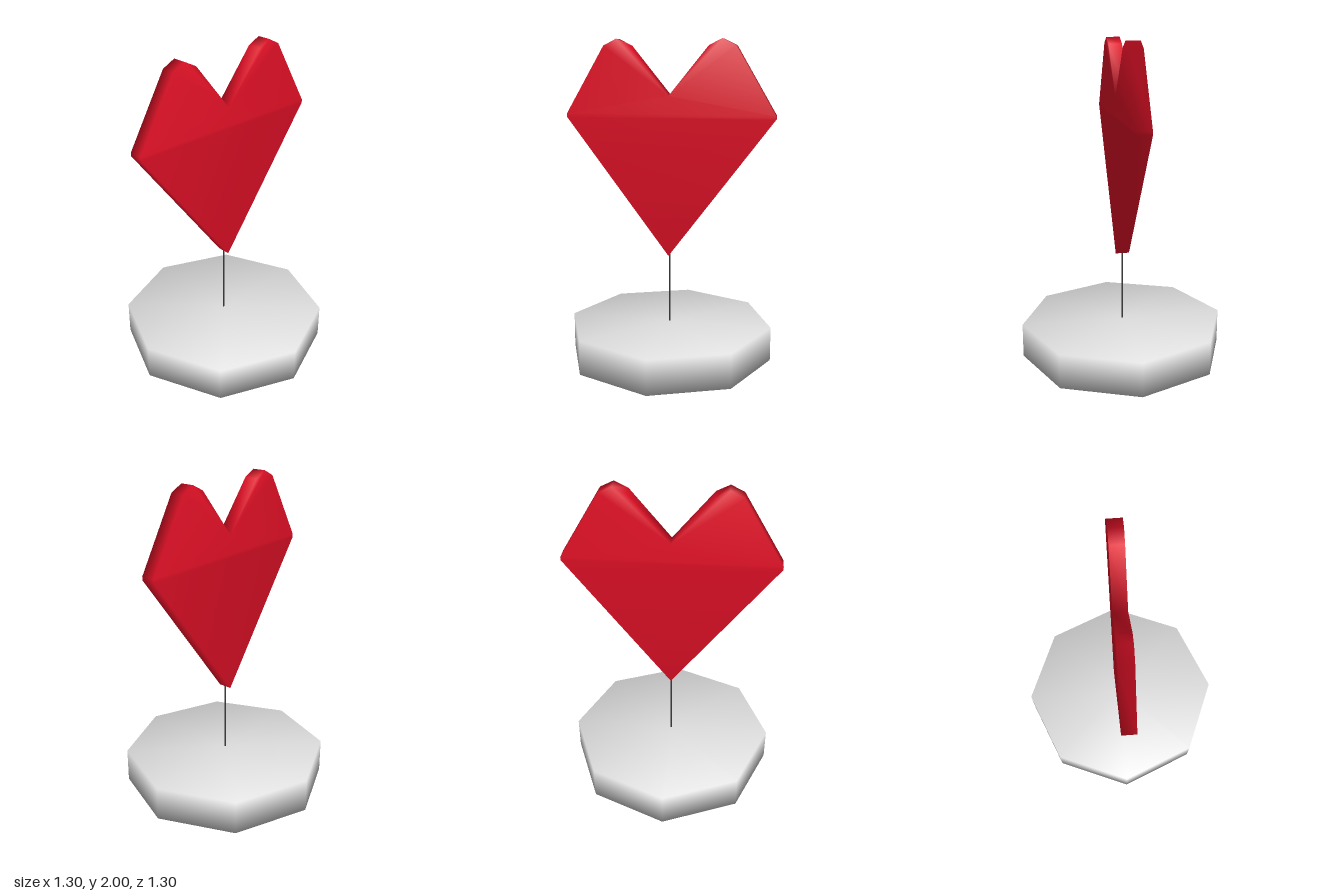
import * as THREE from 'three';
import { mergeVertices } from 'three/addons/utils/BufferGeometryUtils.js';

const red = new THREE.MeshStandardMaterial({ color: 0xe01026 });
red.name = 'heartRed';
const pale = new THREE.MeshStandardMaterial({ color: 0xdedede });
pale.name = 'baseGrey';
const dark = new THREE.MeshStandardMaterial({ color: 0x3a3a3a });
dark.name = 'rodGrey';

// Weld shared corners so the shading rolls softly over the edges
function weld(geometry) {
  geometry.deleteAttribute('normal');
  geometry.deleteAttribute('uv');
  const welded = mergeVertices(geometry);
  welded.computeVertexNormals();
  return welded;
}

// Flat heart slab standing in the y-z plane
function heartGeometry(halfThickness) {
  const half = [[0.65, 1.525], [0.65, 1.545], [0.405, 1.96], [0.325, 2], [0.245, 1.96]];
  const outline = [[0, 0.66], ...half, [0, 1.66], ...half.map(([z, y]) => [-z, y]).reverse()];
  const n = outline.length;
  const positions = [];
  for (const x of [-halfThickness, halfThickness]) {
    for (const [z, y] of outline) positions.push(x, y, z);
  }
  // Lower point, middle band, then a fan for each lobe
  const faces = [[0, 1, 11], [1, 2, 10], [1, 10, 11], [2, 6, 10],
    [2, 3, 6], [3, 4, 6], [4, 5, 6], [6, 7, 8], [6, 8, 9], [6, 9, 10]];
  const index = [];
  for (const [a, b, c] of faces) index.push(a, b, c, a + n, c + n, b + n);
  for (let i = 0; i < n; i++) {
    const j = (i + 1) % n;
    index.push(j, i, i + n, j, i + n, j + n);
  }
  const geometry = new THREE.BufferGeometry();
  geometry.setAttribute('position', new THREE.Float32BufferAttribute(positions, 3));
  geometry.setIndex(index);
  geometry.computeVertexNormals();
  return geometry;
}

export function createModel() {
  const model = new THREE.Group();
  model.name = 'heartOnStand';
  const add = (name, geometry, material, y = 0) => {
    const mesh = new THREE.Mesh(geometry, material);
    mesh.name = name;
    mesh.position.y = y;
    model.add(mesh);
  };

  // Eight-sided base
  add('base', weld(new THREE.CylinderGeometry(0.65, 0.65, 0.216, 8)), pale, 0.108);
  // Thin rod between base and heart
  add('rod', new THREE.CylinderGeometry(0.005, 0.005, 0.5, 8), dark, 0.45);
  add('heart', heartGeometry(0.043), red);
  return model;
}
